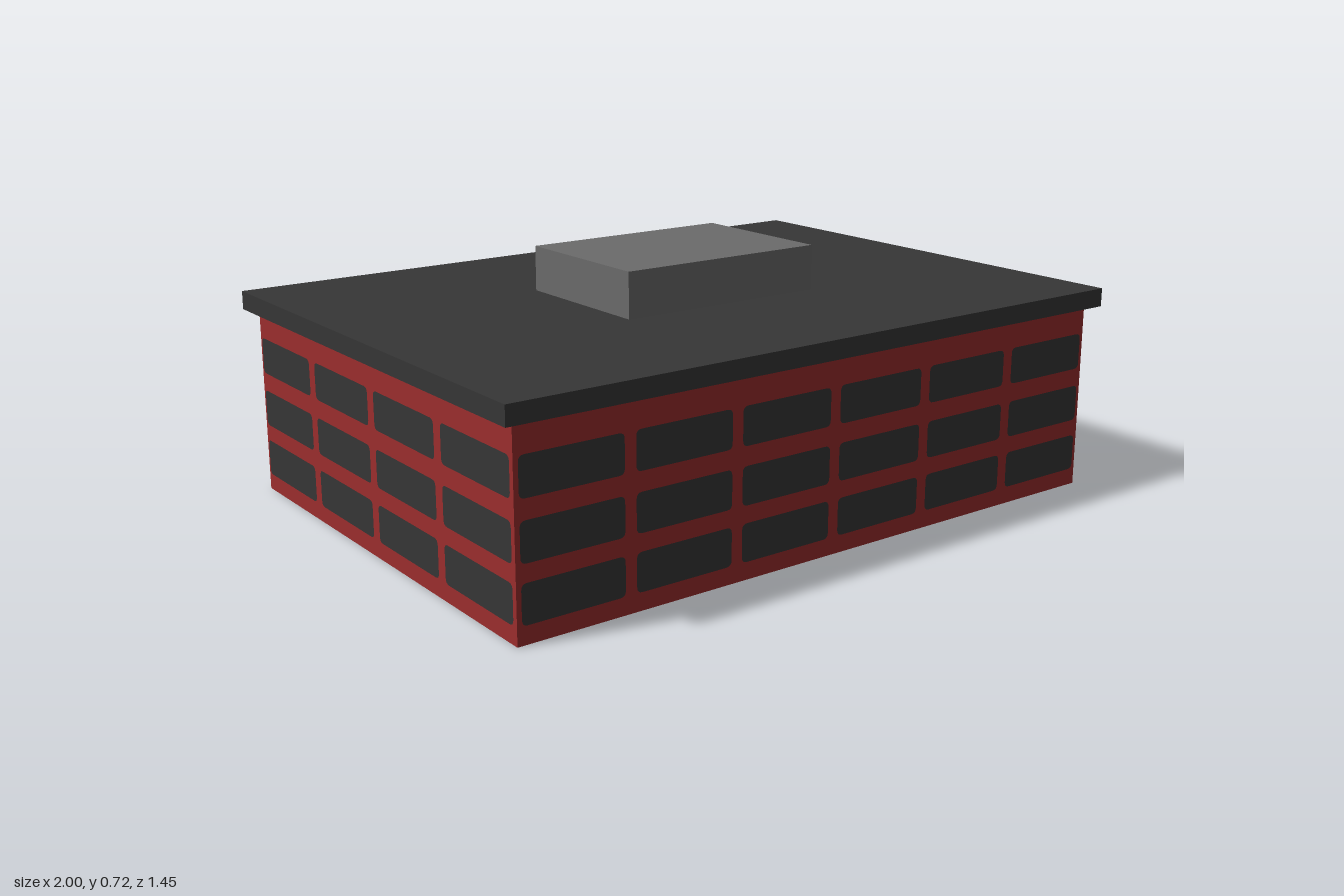
import * as THREE from 'three';

export function createModel() {
  const mat = (name, color) => {
    const m = new THREE.MeshStandardMaterial({ color });
    m.name = name;
    return m;
  };
  const red = mat('wall red', 0x9b2d2d);
  const dark = mat('dark grey', 0x363636);
  const grey = mat('mid grey', 0x6b6b6b);

  const model = new THREE.Group();
  model.name = 'building';

  const box = (name, w, h, d, y, material) => {
    const mesh = new THREE.Mesh(new THREE.BoxGeometry(w, h, d), material);
    mesh.name = name;
    mesh.position.y = y + h / 2;
    model.add(mesh);
  };

  // Walls with a dark underside, overhanging roof slab and rooftop housing
  const W = 1.93, D = 1.386;
  box('walls', W, 0.54, D, 0, [red, red, dark, dark, red, red]);
  box('roof', 2, 0.053, 1.45, 0.54, dark);
  box('roofHousing', 0.64, 0.13, 0.46, 0.592, grey);

  // Window pane with small rounded corners
  const pane = (w, h, r = 0.016) => {
    const x = w / 2, y = h / 2;
    const s = new THREE.Shape();
    s.moveTo(-x + r, -y);
    s.lineTo(x - r, -y);
    s.quadraticCurveTo(x, -y, x, -y + r);
    s.lineTo(x, y - r);
    s.quadraticCurveTo(x, y, x - r, y);
    s.lineTo(-x + r, y);
    s.quadraticCurveTo(-x, y, -x, y - r);
    s.lineTo(-x, -y + r);
    s.quadraticCurveTo(-x, -y, -x + r, -y);
    return new THREE.ShapeGeometry(s, 4);
  };

  // Three rows of windows on each wall
  const rows = [0.101, 0.252, 0.408];
  const addWindows = (name, angle, distance, count, pitch, width) => {
    const wall = new THREE.Group();
    wall.name = name;
    wall.rotation.y = angle;
    const geometry = pane(width, 0.104);
    for (const y of rows) {
      for (let i = 0; i < count; i++) {
        const window = new THREE.Mesh(geometry, dark);
        window.name = 'window';
        window.position.set((i - (count - 1) / 2) * pitch, y, distance + 0.002);
        wall.add(window);
      }
    }
    model.add(wall);
  };
  addWindows('frontWindows', 0, D / 2, 6, 0.323, 0.29);
  addWindows('backWindows', Math.PI, D / 2, 6, 0.323, 0.29);
  addWindows('leftWindows', Math.PI / 2, W / 2, 4, 0.349, 0.315);
  addWindows('rightWindows', -Math.PI / 2, W / 2, 4, 0.349, 0.315);

  return model;
}
